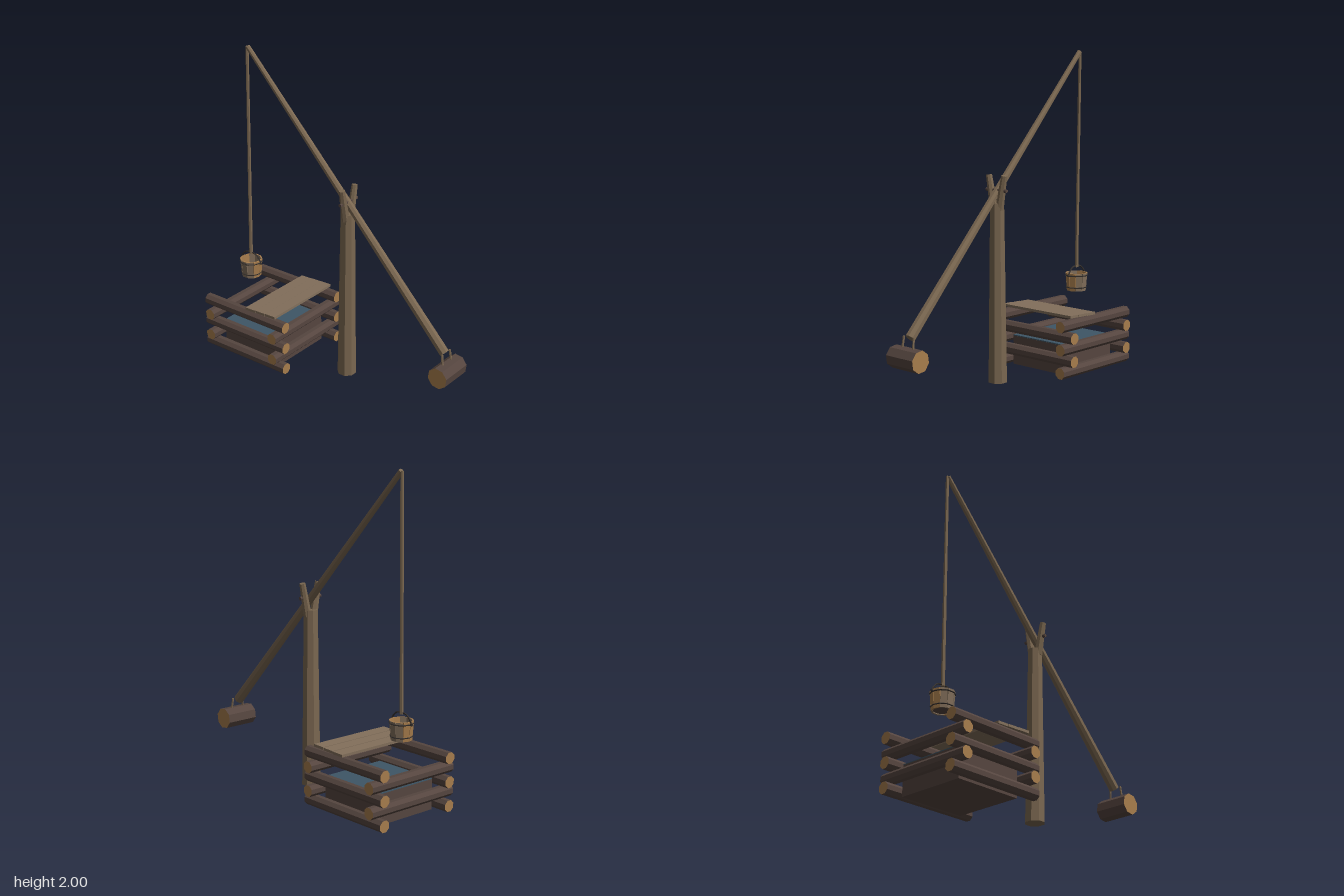
import * as THREE from 'three';

const mat = (name, color) => {
  const m = new THREE.MeshStandardMaterial({ color, flatShading: true });
  m.name = name;
  return m;
};

export function createModel() {
  const bark = mat('dark bark', 0x55453f);
  const wood = mat('weathered wood', 0x7a6750);
  const plank = mat('plank wood', 0x826f5b);
  const grain = mat('end grain', 0xa67c4c);
  const water = mat('water', 0x3e5666);
  const iron = mat('dark iron', 0x37322f);

  const model = new THREE.Group();
  model.name = 'sweepWell';
  const V = (x, y, z) => new THREE.Vector3(x, y, z);

  const add = (name, geometry, material, parent = model) => {
    const mesh = new THREE.Mesh(geometry, material);
    mesh.name = name;
    parent.add(mesh);
    return mesh;
  };

  // Tapered faceted rod from a (radius ra) to b (radius rb)
  const rod = (name, a, b, ra, rb, sides, material, turn = 0, parent = model) => {
    const g = new THREE.CylinderGeometry(rb, ra, a.distanceTo(b), sides);
    g.rotateY(turn);
    const mesh = add(name, g, material, parent);
    mesh.position.copy(a).lerp(b, 0.5);
    mesh.quaternion.setFromUnitVectors(V(0, 1, 0), b.clone().sub(a).normalize());
    return mesh;
  };

  // Crib of stacked logs, alternating direction
  const crib = new THREE.Group();
  crib.name = 'logCrib';
  model.add(crib);
  const logMats = [bark, grain, grain];
  const flat = Math.PI / 8;
  for (let i = 0; i < 5; i++) {
    const y = 0.039 + i * 0.0725;
    for (const s of [-1, 1]) {
      if (i % 2 === 0) {
        rod('lengthLog', V(-0.87, y, s * 0.26), V(-0.225, y, s * 0.26), 0.037, 0.037, 8, logMats, flat, crib);
      } else {
        const x = -0.547 + s * 0.259;
        rod('crossLog', V(x, y, -0.323), V(x, y, 0.323), 0.037, 0.037, 8, logMats, flat, crib);
      }
    }
  }

  // Well lining and water surface
  add('wellLining', new THREE.BoxGeometry(0.44, 0.185, 0.44), bark).position.set(-0.548, 0.0945, 0);
  add('waterSurface', new THREE.BoxGeometry(0.438, 0.006, 0.438), water).position.set(-0.548, 0.19, 0);

  // Cover planks, each a little higher than the last
  for (let i = 0; i < 3; i++) {
    const p = add('coverPlank', new THREE.BoxGeometry(0.078, 0.016, 0.56), plank);
    p.position.set(-0.497 + i * 0.081, 0.374 + i * 0.004, 0);
    p.rotation.z = 0.03;
  }

  // Forked post with its axle
  rod('post', V(0.053, 0, 0), V(0.058, 1.1, 0), 0.06, 0.045, 8, wood, flat);
  for (const s of [-1, 1]) {
    rod('forkProng', V(0.06, 1.06, s * 0.022), V(0.062, 1.265, s * 0.062), 0.026, 0.019, 7, wood);
  }
  rod('axle', V(0.062, 1.175, -0.082), V(0.062, 1.175, 0.082), 0.011, 0.011, 6, bark);

  // Sweep beam and the pole hanging from its tip
  rod('sweepBeam', V(0.778, 0.395, 0), V(-0.704, 1.985, 0), 0.032, 0.016, 8, wood, flat);
  rod('hangingPole', V(-0.712, 0.605, 0.018), V(-0.708, 1.985, 0), 0.012, 0.01, 6, wood);

  // Counterweight log and its two ties
  rod('counterweight', V(0.802, 0.279, -0.109), V(0.802, 0.279, 0.107), 0.067, 0.067, 8, logMats, 0.25);
  for (const s of [-1, 1]) {
    rod('counterweightTie', V(0.798, 0.33, s * 0.045), V(0.788, 0.405, s * 0.04), 0.007, 0.007, 6, wood);
  }

  // Bucket of tapered staves
  const bucket = new THREE.Group();
  bucket.name = 'bucket';
  bucket.position.set(-0.712, 0.455, 0.018);
  model.add(bucket);
  const n = 10;
  for (let i = 0; i < n; i++) {
    const pivot = new THREE.Group();
    pivot.rotation.y = (i / n) * Math.PI * 2;
    bucket.add(pivot);
    const side = Math.abs(Math.sin(pivot.rotation.y)) > 0.9 ? grain : plank;
    const stave = add('stave', new THREE.BoxGeometry(0.039, 0.115, 0.01), [side, side, grain, side, side, side], pivot);
    stave.position.set(0, 0.0575, 0.06);
    stave.rotation.x = 0.08;
  }
  add('bucketBottom', new THREE.CylinderGeometry(0.058, 0.057, 0.012, n), bark, bucket).position.y = 0.012;
  for (const [y, r] of [[0.022, 0.064], [0.1, 0.071]]) {
    const hoop = add('hoop', new THREE.TorusGeometry(r, 0.005, 4, n), iron, bucket);
    hoop.rotation.x = Math.PI / 2;
    hoop.position.y = y;
  }

  // Bucket handle
  const handle = [V(-0.083, 0.098, 0), V(-0.074, 0.118, 0), V(-0.042, 0.152, 0),
    V(0, 0.158, 0), V(0.042, 0.152, 0), V(0.074, 0.118, 0), V(0.083, 0.098, 0)];
  add('handle', new THREE.TubeGeometry(new THREE.CatmullRomCurve3(handle), 16, 0.005, 5), iron, bucket);
  for (const s of [-1, 1]) {
    rod('handleLug', V(s * 0.064, 0.1, 0), V(s * 0.087, 0.1, 0), 0.006, 0.006, 6, iron, 0, bucket);
  }

  return model;
}
